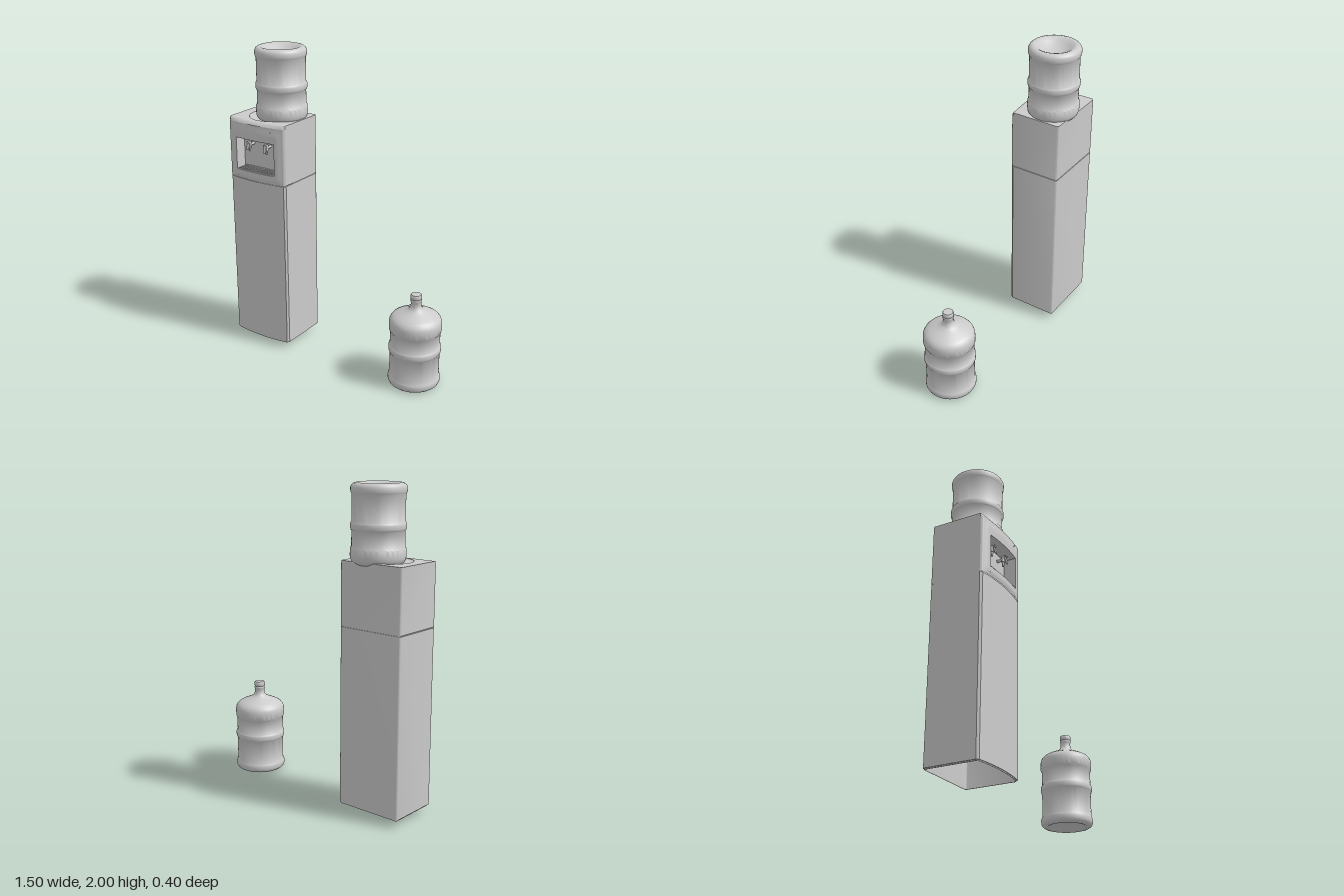
import * as THREE from 'three';
import { toCreasedNormals } from 'three/addons/utils/BufferGeometryUtils.js';

const grey = new THREE.MeshStandardMaterial({ color: 0xcccccc, side: THREE.DoubleSide });
const CX = -0.53, HALF = 0.22, BACK = -0.18;
const SEAM = 1.163, SHOULDER = 1.53, TOP = 1.552;
const NICHE = { x0: -0.68, x1: -0.38, y0: 1.22, y1: 1.43, back: 0.1 };
const lerp = THREE.MathUtils.lerp;

function add(parent, name, geometry, x = 0, y = 0, z = 0) {
  const mesh = new THREE.Mesh(geometry, grey);
  mesh.name = name;
  mesh.position.set(x, y, z);
  parent.add(mesh);
  return mesh;
}

// Grid surface whose points follow fn(u, v) -> [x, y, z]
function sheet(nu, nv, fn) {
  const g = new THREE.PlaneGeometry(1, 1, nu, nv), p = g.attributes.position;
  for (let i = 0; i < p.count; i++) p.setXYZ(i, ...fn(p.getX(i) + 0.5, p.getY(i) + 0.5));
  return toCreasedNormals(g, 0.6);
}

// Bowed front of the cabinet, with softened side edges
function frontZ(x) {
  const d = Math.abs(x - CX) / HALF, e = Math.max(0, (d - 0.95) / 0.05);
  return 0.162 + 0.022 * (1 - d * d) - 0.012 * e * e;
}

// The dispenser panel swells slightly beyond the lower front
function panelZ(x, y) {
  const d = Math.abs(x - CX) / HALF;
  const s = THREE.MathUtils.smoothstep;
  return frontZ(x) + 0.006 * (1 - s(d, 0.75, 0.95)) * s(y, SEAM, 1.19) * (1 - s(y, 1.47, SHOULDER));
}

// Plan of the sides and back, from right-hand front edge round to the other
const R = CX + HALF, L = CX - HALF;
const sides = [[R, 0.15], [R, 0.145], [R, BACK + 0.01], [R - 0.004, BACK + 0.003], [R - 0.01, BACK],
  [L + 0.01, BACK], [L + 0.004, BACK + 0.003], [L, BACK + 0.01], [L, 0.145], [L, 0.15]];

// Hollow tube following the cabinet plan
function shell(outer, inner, y0, y1) {
  const plan = [];
  for (let i = 1; i < 40; i++) {
    const x = lerp(L, R, i / 40);
    plan.push([x, frontZ(x)]);
  }
  plan.push(...sides);
  const ring = k => plan.map(([x, z]) => new THREE.Vector2(CX + (x - CX) * k, -z * k));
  const shape = new THREE.Shape(ring(outer));
  shape.holes.push(new THREE.Path(ring(inner)));
  const g = new THREE.ExtrudeGeometry(shape, { depth: y1 - y0, bevelEnabled: false });
  return toCreasedNormals(g.rotateX(-Math.PI / 2).translate(0, y0, 0), 0.6);
}

function bottle(name) {
  const profile = [[0, 0.05], [0.04, 0.047], [0.07, 0.036], [0.095, 0.02], [0.115, 0.006], [0.132, 0],
    [0.147, 0.004], [0.158, 0.013], [0.164, 0.026], [0.164, 0.046], [0.161, 0.058], [0.156, 0.066],
    [0.156, 0.222], [0.161, 0.227], [0.164, 0.236], [0.164, 0.258], [0.161, 0.267], [0.156, 0.272],
    [0.156, 0.366], [0.161, 0.371], [0.164, 0.38], [0.164, 0.42], [0.162, 0.436], [0.156, 0.45],
    [0.143, 0.465], [0.12, 0.478], [0.08, 0.495], [0.052, 0.508], [0.039, 0.52], [0.033, 0.536],
    [0.031, 0.56], [0.035, 0.566], [0.035, 0.574], [0.032, 0.579], [0.035, 0.584], [0.035, 0.604],
    [0.031, 0.61], [0, 0.61]].map(([r, y]) => new THREE.Vector2(r, y));
  const group = new THREE.Group();
  group.name = name;
  add(group, 'bottleBody', toCreasedNormals(new THREE.LatheGeometry(profile, 64), 0.9));
  return group;
}

function tap(x) {
  const group = new THREE.Group();
  group.name = 'tap';
  group.position.set(x, 0, 0);
  const stem = new THREE.CylinderGeometry(0.009, 0.009, 0.04, 16).rotateX(Math.PI / 2);
  add(group, 'tapStem', stem, 0, 1.385, 0.12);
  add(group, 'tapBody', new THREE.CylinderGeometry(0.011, 0.011, 0.035, 16), 0, 1.385, 0.142);
  add(group, 'tapNozzle', new THREE.CylinderGeometry(0.008, 0.006, 0.03, 16), 0, 1.355, 0.142);
  const lever = add(group, 'tapLever', new THREE.BoxGeometry(0.022, 0.045, 0.006), 0, 1.375, 0.16);
  lever.rotation.x = -0.25;
  add(group, 'tapCap', new THREE.BoxGeometry(0.018, 0.01, 0.03), 0, 1.403, 0.15);
  return group;
}

function dispenserHead() {
  const head = new THREE.Group();
  head.name = 'dispenserHead';
  const { x0, x1, y0, y1, back } = NICHE;

  // Bowed front, in four pieces around the niche
  for (const [a, b, c, d] of [[L, x0, SEAM, SHOULDER], [x1, R, SEAM, SHOULDER],
    [x0, x1, SEAM, y0], [x0, x1, y1, SHOULDER]]) {
    add(head, 'frontPanel', sheet(16, 24, (u, v) => {
      const x = lerp(a, b, u), y = lerp(c, d, v);
      return [x, y, panelZ(x, y)];
    }));
  }

  // Sides and back wall
  const n = sides.length - 1;
  add(head, 'sideWalls', sheet(n, 1, (u, v) => {
    const [x, z] = sides[Math.round(u * n)];
    return [x, v < 0.5 ? SEAM : z > 0.148 ? SHOULDER : TOP, z];
  }));

  // Top with round bottle seat, and a rounded lip towards the front
  const top = new THREE.Shape([[L, -0.145], [R, -0.145], [R, 0.17], [R - 0.01, 0.18], [L + 0.01, 0.18], [L, 0.17]]
    .map(p => new THREE.Vector2(...p)));
  top.holes.push(new THREE.Path().absarc(CX, 0.01, 0.148, 0, Math.PI * 2, true));
  add(head, 'top', new THREE.ShapeGeometry(top, 48).rotateX(-Math.PI / 2), 0, TOP, 0);
  add(head, 'topLip', sheet(32, 8, (u, v) => {
    const x = lerp(L, R, u), t = 1 - v;
    return [x, TOP - (TOP - SHOULDER) * t ** 2.5, lerp(0.145, panelZ(x, SHOULDER), t)];
  }));
  const seat = [[0, -0.012], [0.138, -0.008], [0.146, -0.004], [0.148, 0]].map(p => new THREE.Vector2(...p));
  add(head, 'bottleSeat', new THREE.LatheGeometry(seat, 64), CX, TOP, -0.01);

  // Niche walls, back, floor and ceiling
  for (const y of [y0, y1]) {
    add(head, y === y0 ? 'nicheFloor' : 'nicheCeiling', sheet(16, 1, (u, v) => {
      const x = lerp(x0, x1, u);
      return [x, y, lerp(panelZ(x, y), back, v)];
    }));
  }
  for (const x of [x0, x1]) {
    add(head, 'nicheSide', sheet(1, 12, (u, v) => {
      const y = lerp(y0, y1, v);
      return [x, y, lerp(panelZ(x, y), back, u)];
    }));
  }
  add(head, 'nicheBack', new THREE.PlaneGeometry(x1 - x0, y1 - y0), CX, (y0 + y1) / 2, back);

  // Drip tray grille
  for (let i = 0; i < 17; i++) {
    add(head, 'dripGrilleBar', new THREE.BoxGeometry(0.007, 0.008, 0.07), CX + (i - 8) * 0.016, y0 + 0.004, 0.14);
  }
  for (const z of [0.105, 0.176]) {
    add(head, 'dripGrilleRail', new THREE.BoxGeometry(0.27, 0.009, 0.006), CX, y0 + 0.0045, z);
  }

  for (const x of [-0.6, -0.465]) head.add(tap(x));

  // Indicator light
  const light = new THREE.CylinderGeometry(0.004, 0.004, 0.006, 16).rotateX(Math.PI / 2);
  add(head, 'indicatorLight', light, -0.405, 1.5, panelZ(-0.405, 1.5));
  return head;
}

export function createModel() {
  const model = new THREE.Group();
  model.name = 'waterCooler';

  // Open-bottomed cabinet with an inner liner closing the seam
  add(model, 'cabinet', shell(1, 0.975, 0.05, SEAM - 0.005));
  add(model, 'cabinetLiner', shell(0.975, 0.96, 0.043, SEAM + 0.03));
  model.add(dispenserHead());

  const mounted = bottle('mountedBottle');
  mounted.rotation.z = Math.PI;
  mounted.position.set(-0.477, 2, -0.04);
  const spare = bottle('spareBottle');
  spare.position.set(0.583, 0, 0.033);
  model.add(mounted, spare);
  return model;
}
